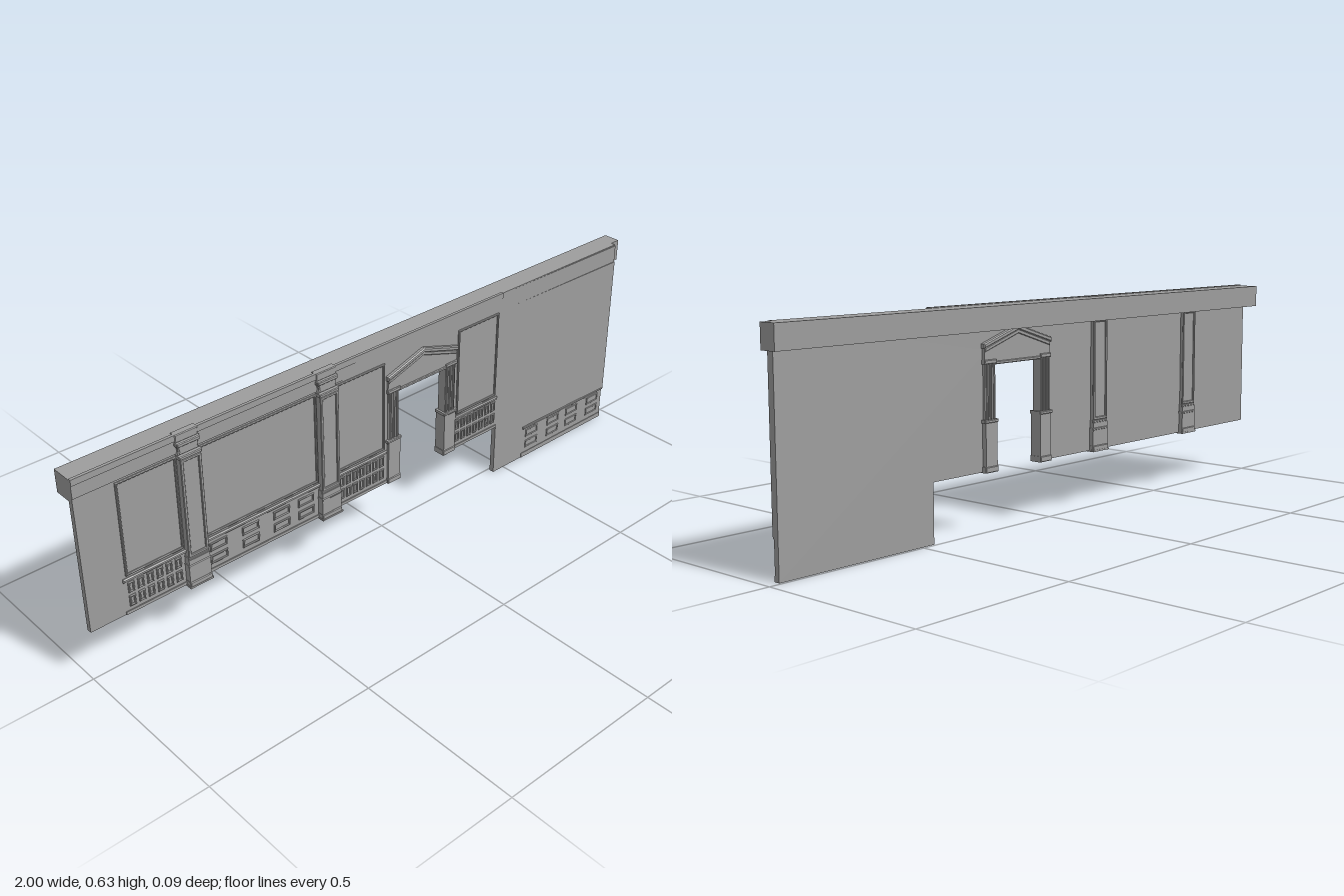
import * as THREE from 'three';

const grey = new THREE.MeshStandardMaterial({ color: 0x9d9d9d, flatShading: true });
const WALL_BACK = 0.0065, WALL_FRONT = 0.022, SUNK = 0.02;

function add(parent, name, geometry) {
  const mesh = new THREE.Mesh(geometry, grey);
  mesh.name = name;
  parent.add(mesh);
  return mesh;
}

// Box given by its limits on each axis
function box(parent, name, x0, x1, y0, y1, z0, z1) {
  const mesh = add(parent, name, new THREE.BoxGeometry(x1 - x0, y1 - y0, z1 - z0));
  mesh.position.set((x0 + x1) / 2, (y0 + y1) / 2, (z0 + z1) / 2);
  return mesh;
}

// Flat outline extruded from z0 to z1, with chamfered edges if bevel > 0
function slab(parent, name, points, z0, z1, bevel = 0, hole) {
  const shape = new THREE.Shape(points.map(p => new THREE.Vector2(...p)));
  if (hole) shape.holes.push(new THREE.Path(hole.map(p => new THREE.Vector2(...p))));
  const g = new THREE.ExtrudeGeometry(shape, {
    depth: z1 - z0 - 2 * bevel, bevelEnabled: bevel > 0, bevelSegments: 1,
    bevelThickness: bevel, bevelSize: bevel, bevelOffset: -bevel,
  });
  g.translate(0, 0, z0 + bevel);
  return add(parent, name, g);
}

const rect = (x0, x1, y0, y1) => [[x0, y0], [x1, y0], [x1, y1], [x0, y1]];

// Strip with chamfered edges
function strip(parent, name, x0, x1, y0, y1, z0, z1, bevel = 0.002) {
  slab(parent, name, rect(x0, x1, y0, y1), z0, z1, bevel);
}

// Chamfered rectangular moulding around an open field
function frame(parent, name, x0, x1, y0, y1, w, z0, z1, bevel = 0.0018) {
  slab(parent, name, rect(x0, x1, y0, y1), z0, z1, bevel, rect(x0 + w, x1 - w, y0 + w, y1 - w));
}

// Two rows of small framed fields at the given column centres
function dadoFields(parent, centres, w, h, rows, z1) {
  for (const x of centres) for (const y of rows)
    frame(parent, 'dadoField', x - w / 2, x + w / 2, y - h / 2, y + h / 2, 0.0055, z1 - 0.0055, z1);
}

// Box whose front sinks into the wall at its right-hand end (-x)
function taperedFace(parent, name, x0, x1, y0, y1, z1) {
  const geometry = box(parent, name, x0, x1, y0, y1, SUNK, z1).geometry;
  const p = geometry.attributes.position;
  for (let i = 0; i < p.count; i++)
    if (p.getX(i) < 0 && p.getZ(i) > 0) p.setZ(i, WALL_FRONT - (SUNK + z1) / 2);
  geometry.computeVertexNormals();
}

const spread = (a, b, n) => Array.from({ length: n }, (_, i) => a + (b - a) * i / (n - 1));

function pilaster(x) {
  const g = new THREE.Group();
  g.name = 'pilaster';
  g.position.x = x;
  const b = (name, half, y0, y1, z0, z1) => box(g, name, -half, half, y0, y1, z0, z1);
  const s = (name, half, y0, y1, z0, z1) => strip(g, name, -half, half, y0, y1, z0, z1);
  b('base', 0.037, 0.165, 0.17, -0.010, 0.045);
  s('baseMoulding', 0.035, 0.168, 0.183, -0.009, 0.044);
  b('pedestal', 0.034, 0.183, 0.23, -0.007, 0.041);
  s('pedestalCap', 0.035, 0.229, 0.237, -0.008, 0.043);
  b('shaft', 0.031, 0.237, 0.565, -0.004, 0.037);
  // Sunk field on both faces of the shaft
  frame(g, 'shaftFrontFrame', -0.032, 0.032, 0.26, 0.56, 0.009, 0.035, 0.0415);
  frame(g, 'shaftBackFrame', -0.032, 0.032, 0.26, 0.56, 0.009, -0.007, -0.001);
  b('shaftFoot', 0.033, 0.237, 0.252, -0.007, 0.041);
  s('shaftFootRing', 0.033, 0.252, 0.26, -0.005, 0.040);
  s('neckRing', 0.034, 0.56, 0.57, -0.005, 0.0425);
  // Flared capital
  const right = [[0.033, 0.57], [0.029, 0.58], [0.031, 0.59], [0.036, 0.597], [0.036, 0.605]];
  const left = right.map(([px, py]) => [-px, py]).reverse();
  slab(g, 'capital', right.concat(left), 0.008, 0.034, 0.003);
  s('capitalLip', 0.034, 0.594, 0.605, 0.02, 0.037);
  s('capitalBlock', 0.034, 0.605, 0.628, 0.008, 0.029);
  return g;
}

function doorway() {
  const g = new THREE.Group();
  g.name = 'doorway';
  const mid = 0.134;
  // Jambs, mirrored about the middle of the opening
  for (const side of [-1, 1]) {
    const limits = (a, c) => side < 0 ? [mid - c, mid - a] : [mid + a, mid + c];
    const b = (name, a, c, ...rest) => box(g, name, ...limits(a, c), ...rest);
    const s = (name, a, c, ...rest) => strip(g, name, ...limits(a, c), ...rest);
    s('jambFoot', 0.087, 0.136, 0.166, 0.183, -0.009, 0.032);
    b('jambPlinth', 0.089, 0.134, 0.168, 0.305, -0.007, 0.03);
    s('plinthCap', 0.086, 0.139, 0.304, 0.313, -0.010, 0.033);
    b('jamb', 0.093, 0.132, 0.313, 0.475, -0.002, 0.025);
    for (const a of [0.094, 0.107, 0.12]) {
      s('jambReedFront', a, a + 0.008, 0.313, 0.465, 0.0235, 0.029);
      s('jambReedBack', a, a + 0.008, 0.313, 0.465, -0.006, -0.0005);
    }
    s('jambCapital', 0.09, 0.136, 0.465, 0.477, -0.007, 0.031);
  }
  // Pediment with raking mouldings on both faces
  slab(g, 'pediment', [[0.0, 0.465], [0.268, 0.465], [0.268, 0.512], [mid, 0.555], [0.0, 0.512]], -0.003, 0.027);
  const rake = [[-0.004, 0.508], [mid, 0.551], [0.272, 0.508], [0.272, 0.521], [mid, 0.565], [-0.004, 0.521]];
  slab(g, 'rakingMoulding', rake, -0.007, 0.033, 0.003);
  const inner = rake.map(([x, y]) => [mid + (x - mid) * 0.97, y - 0.011]);
  slab(g, 'innerRakingMoulding', inner, -0.005, 0.03, 0.003);
  strip(g, 'lintelMoulding', 0.04, 0.228, 0.462, 0.471, -0.005, 0.03);
  return g;
}

export function createModel() {
  const model = new THREE.Group();
  model.name = 'panelledWall';

  // Stepped wall with the door opening
  slab(model, 'wall', [
    [-1, 0.168], [0.02, 0.168], [0.02, 0.5], [0.248, 0.5], [0.248, 0.168], [0.455, 0.168],
    [0.455, 0], [0.966, 0], [0.966, 0.625], [-1, 0.625],
  ], WALL_BACK, WALL_FRONT);

  // Beam along the back of the top edge
  box(model, 'topBeam', -1, 1, 0.559, 0.625, -0.045, 0.007);

  // Frieze and its upper strip
  box(model, 'frieze', -1, 0.455, 0.572, 0.627, SUNK - 0.002, 0.0245);
  box(model, 'friezeStrip', -1, 0.455, 0.61, 0.628, SUNK - 0.002, 0.027);

  // Upper panels, chair rail and skirting of each bay
  for (const [x0, x1] of [[-0.895, -0.7], [-0.65, -0.25], [-0.2, -0.003], [0.267, 0.452]]) {
    strip(model, 'chairRail', x0, x1, 0.269, 0.28, SUNK, 0.0285, 0.003);
    frame(model, 'panelFrame', x0 + 0.01, x1 - 0.008, 0.286, 0.566, 0.006, SUNK, 0.027);
    box(model, 'skirting', x0, x1, 0.168, 0.177, SUNK, 0.025);
  }

  // Dado fields
  const narrowRows = [0.247, 0.205];
  dadoFields(model, spread(-0.872, -0.728, 6), 0.019, 0.033, narrowRows, 0.0255);
  dadoFields(model, [-0.6, -0.494, -0.388, -0.302], 0.056, 0.027, [0.245, 0.205], 0.0255);
  dadoFields(model, spread(-0.172, -0.022, 7), 0.018, 0.033, narrowRows, 0.0255);
  dadoFields(model, spread(0.283, 0.437, 7), 0.018, 0.033, narrowRows, 0.0255);
  dadoFields(model, [0.626, 0.727, 0.818, 0.92], 0.056, 0.027, [0.084, 0.044], 0.0245);

  // Tall bay: tapering face and frieze, low rail and skirting
  taperedFace(model, 'tallBayFace', 0.5, 0.966, 0.11, 0.568, 0.027);
  taperedFace(model, 'tallBayFrieze', 0.5, 0.966, 0.568, 0.622, 0.0245);
  strip(model, 'lowRail', 0.582, 0.966, 0.105, 0.114, SUNK, 0.0275);
  box(model, 'lowSkirting', 0.582, 0.966, 0.0, 0.015, SUNK, 0.024);

  for (const x of [-0.674, -0.224]) model.add(pilaster(x));
  model.add(doorway());
  return model;
}
